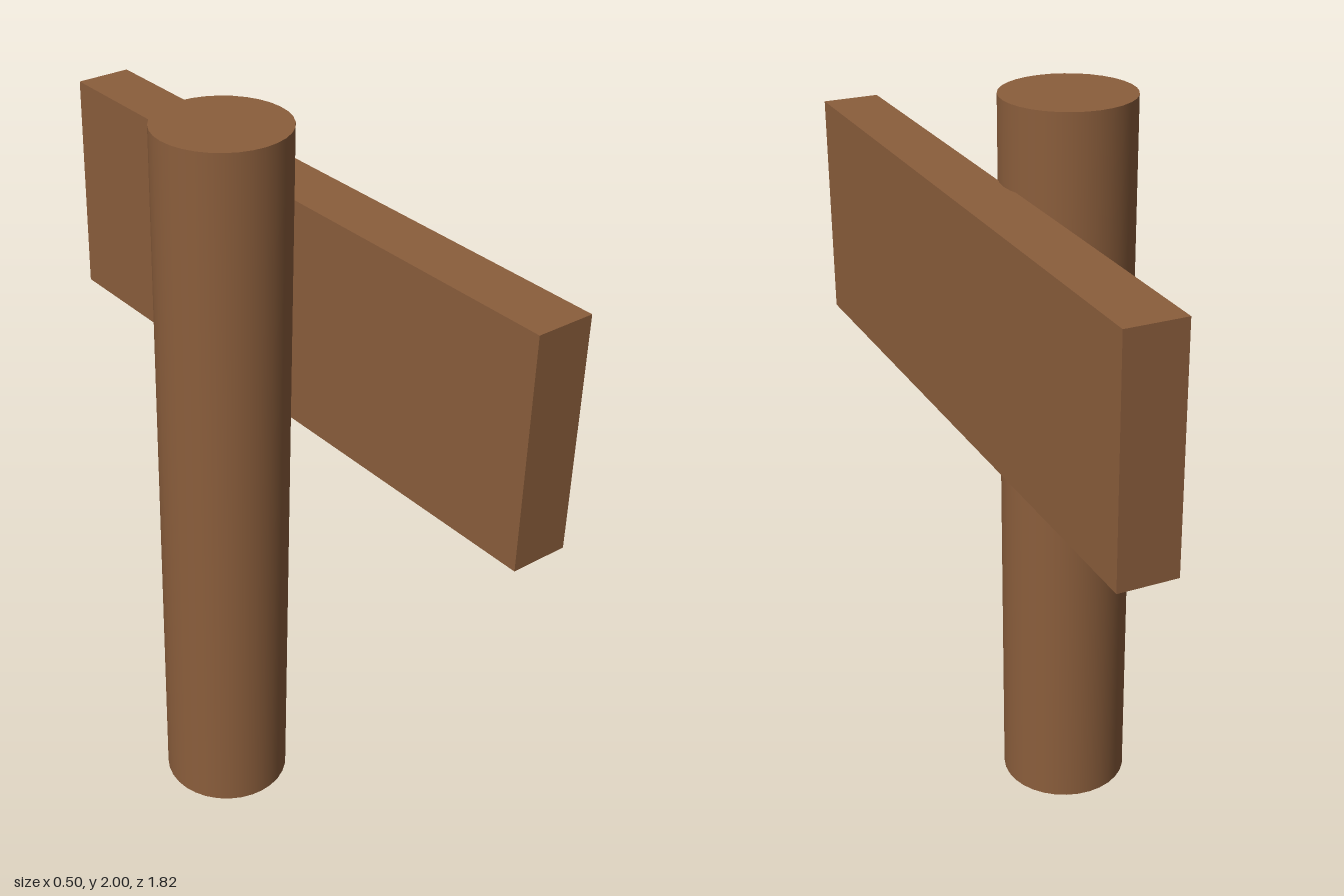
import * as THREE from 'three';

export function createModel() {
  const model = new THREE.Group();
  model.name = 'signpost';

  const wood = new THREE.MeshStandardMaterial({ color: 0x8b5e3c });
  wood.name = 'brown wood';

  // Round upright post
  const post = new THREE.Mesh(new THREE.CylinderGeometry(0.174, 0.174, 2, 32), wood);
  post.name = 'post';
  post.position.set(-0.075, 1, 0);

  // Plank fixed to the side of the post
  const board = new THREE.Mesh(new THREE.BoxGeometry(0.157, 0.62, 1.815), wood);
  board.name = 'signBoard';
  board.position.set(0.169, 1.475, 0);

  model.add(post, board);
  return model;
}
